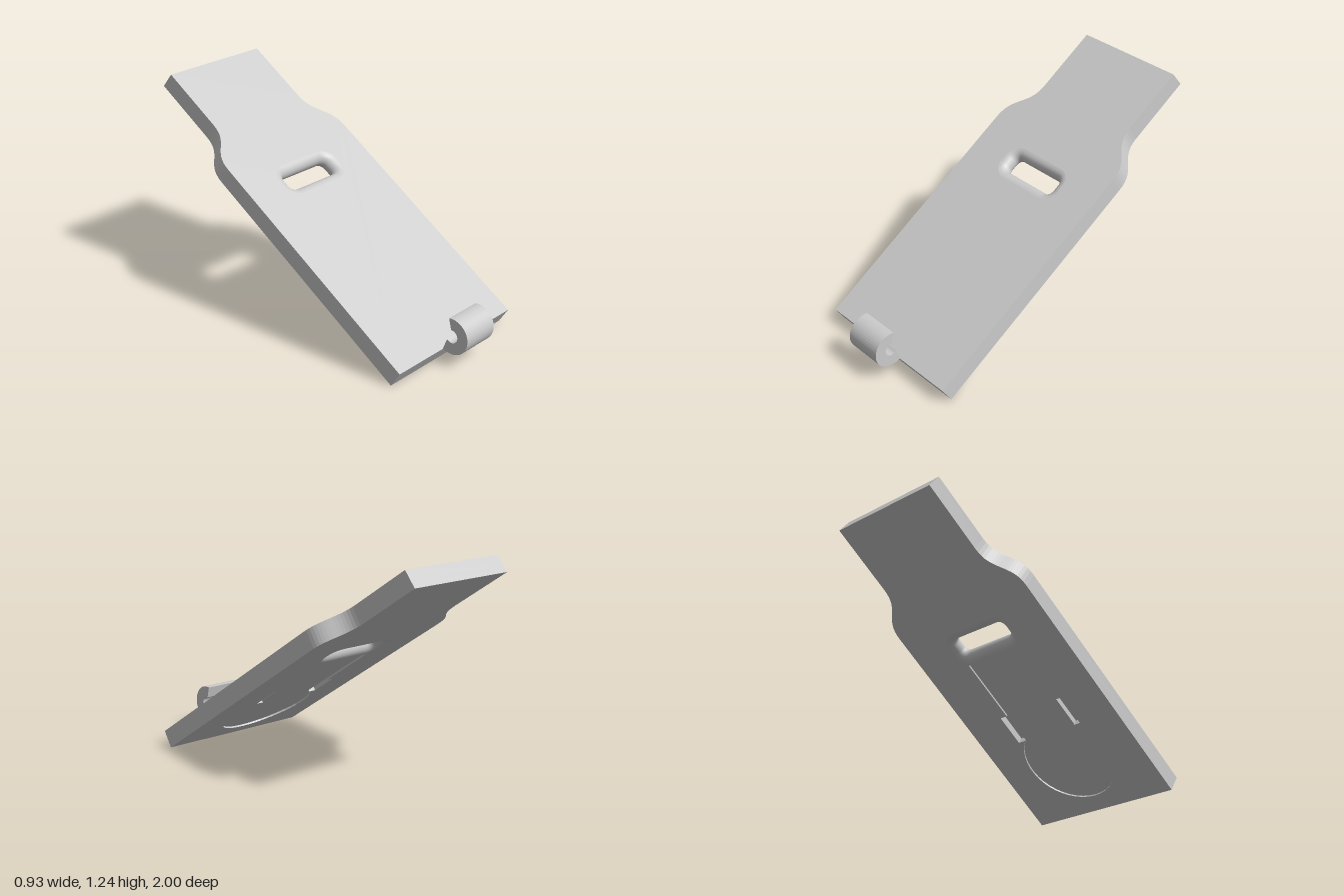
import * as THREE from 'three';

const THICK = 0.103, LENGTH = 2.133, SLOT_S = 1.24;
const grey = () => new THREE.MeshStandardMaterial({ color: 0xcccccc });

function named(name, geometry) {
  const mesh = new THREE.Mesh(geometry, grey());
  mesh.name = name;
  return mesh;
}

// Rounded slot outline, grown outwards by e
function slotPoints(e) {
  const hx = 0.175 + e, hy = 0.05 + e, r = 0.03 + e, pts = [];
  [[1, 1], [-1, 1], [-1, -1], [1, -1]].forEach(([sx, sy], k) => {
    for (let j = 0; j <= 6; j++) {
      const a = (k + j / 6) * Math.PI / 2;
      pts.push(new THREE.Vector2(sx * (hx - r) + r * Math.cos(a), SLOT_S + sy * (hy - r) + r * Math.sin(a)));
    }
  });
  return pts;
}

// Plate outline: wide body, S-curved shoulders, narrow top
function plateOutline() {
  const s = new THREE.Shape();
  s.moveTo(-0.465, 0);
  s.lineTo(0.465, 0);
  s.lineTo(0.465, 1.434);
  s.bezierCurveTo(0.465, 1.58, 0.335, 1.58, 0.335, 1.728);
  s.lineTo(0.335, LENGTH);
  s.lineTo(-0.335, LENGTH);
  s.lineTo(-0.335, 1.728);
  s.bezierCurveTo(-0.335, 1.58, -0.465, 1.58, -0.465, 1.434);
  s.closePath();
  return s;
}

// One slice of the plate between two depths, with the slot and extra holes
function plateLayer(name, from, to, holes) {
  const shape = plateOutline();
  shape.holes.push(new THREE.Path(slotPoints(THICK / 2)), ...holes);
  const geo = new THREE.ExtrudeGeometry(shape, { depth: to - from, bevelEnabled: false, curveSegments: 16 });
  geo.translate(0, 0, from);
  // the top end is cut at a slight slant
  const p = geo.attributes.position;
  for (let i = 0; i < p.count; i++) {
    if (p.getY(i) > LENGTH - 0.001) p.setY(i, LENGTH - 0.107 * p.getZ(i));
  }
  geo.computeVertexNormals();
  return named(name, geo);
}

// Shallow tag-shaped recess: straight strip, side notches and round end
function tagPath() {
  const p = new THREE.Path();
  const a = Math.atan2(0.205, 0.175);
  p.moveTo(-0.175, 1.13);
  p.lineTo(-0.175, 0.76);
  p.lineTo(-0.22, 0.76);
  p.lineTo(-0.22, 0.575);
  p.absarc(0, 0.37, 0.2695, Math.PI - a, 2 * Math.PI + a, false);
  p.lineTo(0.22, 0.575);
  p.lineTo(0.22, 0.76);
  p.lineTo(0.175, 0.76);
  p.lineTo(0.175, 1.13);
  p.closePath();
  return p;
}

const notchPath = (side) => new THREE.Path(
  [[0.175, 0.575], [0.22, 0.575], [0.22, 0.76], [0.175, 0.76]].map(([x, y]) => new THREE.Vector2(side * x, y)));

// Rounded lip lining the slot, lofted from grown slot outlines
function slotLip() {
  const rings = 12, f = THICK / 2, pos = [], idx = [];
  let n = 0;
  for (let k = 0; k <= rings; k++) {
    const phi = (k / rings - 0.5) * Math.PI;
    const pts = slotPoints(f * (1 - Math.cos(phi)));
    n = pts.length;
    pts.forEach((v) => pos.push(v.x, v.y, f + f * Math.sin(phi)));
  }
  for (let k = 0; k < rings; k++) {
    for (let i = 0; i < n; i++) {
      const a = k * n + i, b = k * n + (i + 1) % n;
      idx.push(a, a + n, b, b, a + n, b + n);
    }
  }
  const geo = new THREE.BufferGeometry();
  geo.setAttribute('position', new THREE.Float32BufferAttribute(pos, 3));
  geo.setIndex(idx);
  geo.computeVertexNormals();
  return named('slotLip', geo);
}

// C-shaped hook, open towards the plate
function hook() {
  const rad = THREE.MathUtils.degToRad, width = 0.226;
  const s = new THREE.Shape();
  s.absarc(0, 0, 0.102, rad(-121), rad(101), false);
  s.absarc(0, 0, 0.037, rad(97), rad(-138), true);
  s.closePath();
  const geo = new THREE.ExtrudeGeometry(s, { depth: width, bevelEnabled: false, curveSegments: 14 });
  geo.translate(0, 0, -width / 2);
  geo.rotateY(-Math.PI / 2);
  const mesh = named('hook', geo);
  mesh.position.set(0, 0.177, 0.898);
  return mesh;
}

export function createModel() {
  const model = new THREE.Group();
  model.name = 'slantedPlateWithHook';

  // Plate laid flat as (x, along, depth), then tilted back
  const plate = new THREE.Group();
  plate.name = 'plate';
  plate.add(
    plateLayer('recessLayer', 0, 0.01, [tagPath()]),
    plateLayer('notchLayer', 0.01, 0.04, [notchPath(1), notchPath(-1)]),
    plateLayer('topLayer', 0.04, THICK, []),
    slotLip());
  plate.rotation.x = -THREE.MathUtils.degToRad(57.06);
  plate.position.z = 0.79;

  model.add(plate, hook());
  return model;
}
